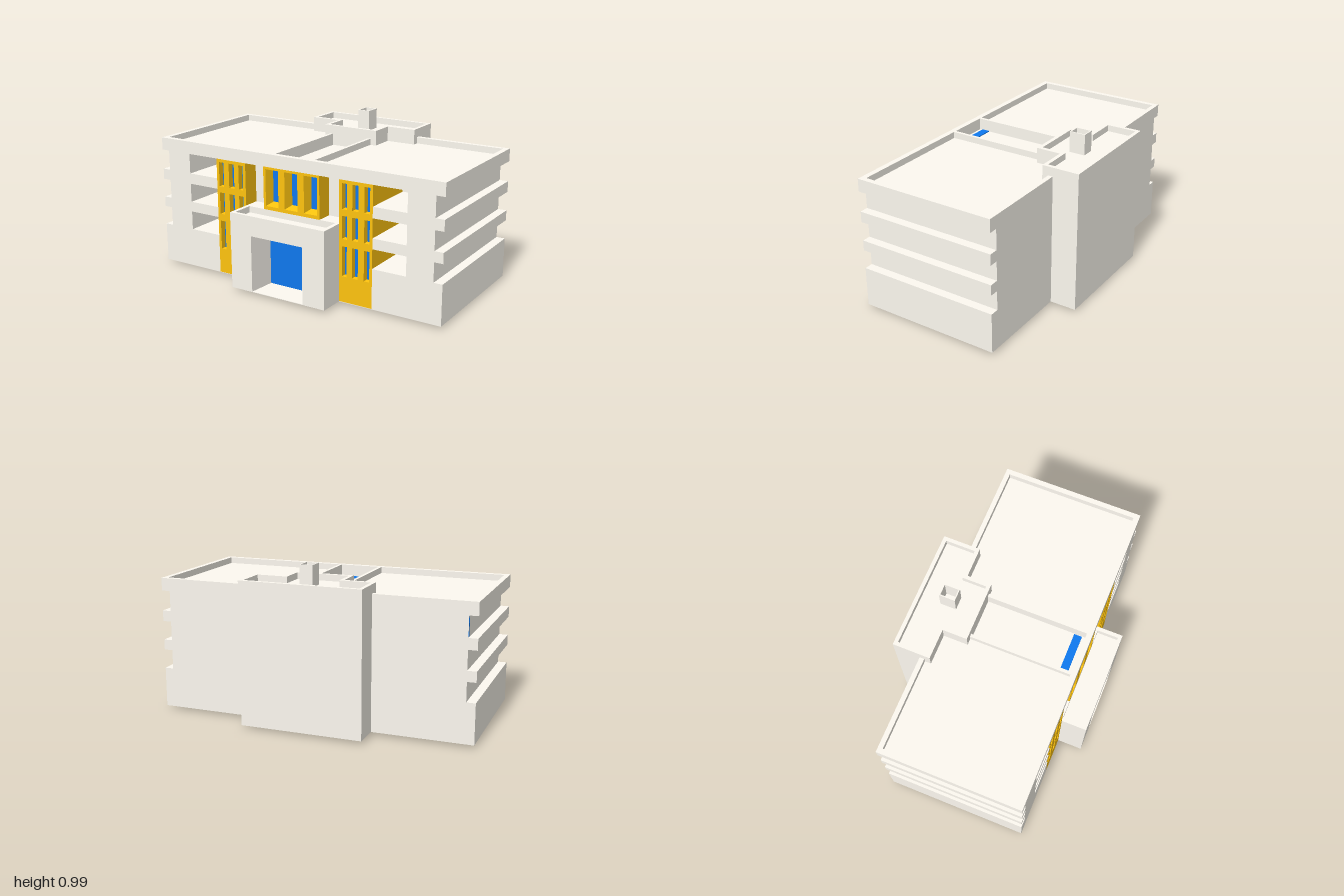
import * as THREE from 'three';

const mat = (color) => new THREE.MeshStandardMaterial({ color });

export function createModel() {
  const model = new THREE.Group();
  const stone = mat(0xfdf9f0), yellow = mat(0xffc40f), blue = mat(0x0f79ef);

  const add = (name, geometry, material) => {
    const mesh = new THREE.Mesh(geometry, material);
    mesh.name = name;
    model.add(mesh);
  };
  // box given by its limits
  const box = (name, x0, x1, y0, y1, z0, z1, material = stone) =>
    add(name, new THREE.BoxGeometry(x1 - x0, y1 - y0, z1 - z0)
      .translate((x0 + x1) / 2, (y0 + y1) / 2, (z0 + z1) / 2), material);
  const rect = (x0, x1, y0, y1) => [[x0, y0], [x1, y0], [x1, y1], [x0, y1]];
  const extrude = (pts, holes, depth) => {
    const toV = (list) => list.map(([x, y]) => new THREE.Vector2(x, y));
    const shape = new THREE.Shape(toV(pts));
    holes.forEach((h) => shape.holes.push(new THREE.Path(toV(h))));
    return new THREE.ExtrudeGeometry(shape, { depth, bevelEnabled: false });
  };
  // plan outline in (x, z) raised from y0 to y1
  const plan = (name, pts, y0, y1, holes = [], material = stone) => {
    const flip = (list) => list.map(([x, z]) => [x, -z]).reverse();
    add(name, extrude(flip(pts), holes.map(flip), y1 - y0).rotateX(-Math.PI / 2).translate(0, y0, 0), material);
  };
  // facade outline in (x, y) running from z0 to z1
  const facade = (name, pts, z0, z1, holes = [], material = stone) =>
    add(name, extrude(pts, holes, z1 - z0).translate(0, 0, z0), material);
  // sloping reveal from a front opening to a smaller one behind it
  const reveal = (name, outer, inner, zOuter, zInner, material) => {
    const pos = [];
    outer.forEach((a, i) => {
      const j = (i + 1) % outer.length;
      const A = [...a, zOuter], B = [...outer[j], zOuter], C = [...inner[j], zInner], D = [...inner[i], zInner];
      pos.push(...A, ...B, ...C, ...A, ...C, ...D);
    });
    const g = new THREE.BufferGeometry();
    g.setAttribute('position', new THREE.Float32BufferAttribute(pos, 3));
    g.computeVertexNormals();
    add(name, g, material);
  };

  const BASE = 0.017, ROOF = 0.807, TOP = 0.847, FRONT = 0.455, BACK = -0.447, DEEP = 0.1;
  const SLAB = BASE + 0.003, HEAD = 0.767, TOWER = 0.557, INNER = 0.335;

  // storey layers with a front notch for the towers and the entrance
  const notched = [[-1, BACK], [1, BACK], [1, FRONT], [TOWER, FRONT], [TOWER, DEEP],
    [-TOWER, DEEP], [-TOWER, FRONT], [-1, FRONT]];
  [[BASE, 0.267], [0.387, 0.452], [0.572, 0.64]].forEach(([a, b]) => plan('storeyBand', notched, a, b));
  box('groundSlab', -TOWER, TOWER, BASE, SLAB, DEEP, FRONT);

  // set-back walls and front piers between the layers
  [[0.267, 0.387], [0.452, 0.572], [0.64, HEAD]].forEach(([a, b]) => {
    box('recessedWall', -0.945, 0.945, a, b, BACK, DEEP);
    for (const s of [-1, 1]) {
      box('frontPier', s < 0 ? -0.945 : 0.775, s < 0 ? -0.775 : 0.945, a, b, DEEP, FRONT);
    }
  });
  box('sideWindow', -0.946, -0.94, 0.645, 0.762, -0.446, -0.43, blue);

  // roof slab with a sunken light well, and its parapets
  plan('roofSlab', rect(-1, 1, BACK, FRONT), HEAD, ROOF, [rect(-0.13, 0.13, -0.24, 0.42)]);
  plan('roofParapet', rect(-1, 1, BACK, FRONT), ROOF, TOP, [rect(-0.967, 0.967, -0.417, 0.42)]);
  box('wellFloor', -0.14, 0.14, 0.75, 0.772, -0.24, 0.43);
  box('wellGlass', -0.125, 0.125, 0.76, 0.778, 0.345, 0.395, blue);
  for (const s of [-1, 1]) {
    box('wellCurb', s < 0 ? -0.15 : 0.13, s < 0 ? -0.13 : 0.15, ROOF, TOP, -0.24, 0.42);
  }

  // yellow window towers
  const columns = [[0.355, 0.388], [0.423, 0.463], [0.503, 0.539]];
  const rows = [[0.18, 0.367], [0.412, 0.552], [0.592, 0.747]];
  for (const s of [-1, 1]) {
    const span = (a, b) => (s > 0 ? [a, b] : [-b, -a]);
    const [x0, x1] = span(INNER, TOWER);
    const holes = [];
    columns.forEach(([a, b]) => rows.forEach(([c, d]) => {
      const [p, q] = span(a, b);
      holes.push(rect(p, q, c, d));
      box('towerWindow', p, q, c, d, 0.405, 0.418, blue);
    }));
    facade('towerFront', rect(x0, x1, SLAB, HEAD), 0.41, FRONT, holes, yellow);
    box('towerBody', x0, x1, SLAB, HEAD, DEEP, 0.41, yellow);
  }

  // centre: lower wall, set-back upper wall and yellow bay
  box('entranceWall', -INNER, INNER, SLAB, 0.5, DEEP, 0.43);
  box('recessSill', -INNER, INNER, 0.46, 0.5, 0.43, FRONT);
  box('upperWall', -INNER, INNER, 0.5, HEAD, DEEP, 0.35);
  const bayWindows = [-0.138, 0, 0.138];
  const opening = (x) => rect(x - 0.046, x + 0.046, 0.522, 0.752);
  facade('bayFront', rect(-0.2, 0.2, 0.5, HEAD), 0.35, FRONT, bayWindows.map(opening), yellow);
  bayWindows.forEach((x) => reveal('bayWindowReveal', opening(x),
    rect(x - 0.032, x + 0.032, 0.537, 0.737), FRONT, 0.395, yellow));
  box('bayGlass', -0.19, 0.19, 0.515, 0.76, 0.345, 0.395, blue);

  // entrance porch with an open front, parapet, floor and door
  const arch = (w, h) => [[w, BASE], [w, h], [-w, h], [-w, BASE]];
  facade('porch', [[-INNER, BASE], ...arch(0.183, 0.375).reverse(), [INNER, BASE],
    [INNER, 0.46], [-INNER, 0.46]], 0.43, 0.615);
  reveal('porchReveal', rect(-0.183, 0.183, BASE, 0.375), rect(-0.168, 0.168, SLAB, 0.35), 0.615, 0.438, stone);
  plan('porchParapet', [[-INNER, 0.45], [-0.31, 0.45], [-0.31, 0.592], [0.31, 0.592],
    [0.31, 0.45], [INNER, 0.45], [INNER, 0.615], [-INNER, 0.615]], 0.46, 0.5);
  box('porchFloor', -0.183, 0.183, BASE, SLAB, 0.43, 0.615);
  box('door', -0.168, 0.168, SLAB, 0.332, 0.42, 0.44, blue);
  plan('doorFoot', rect(-0.175, 0.175, 0.35, 0.44), 0, BASE, [rect(-0.16, 0.16, 0.363, 0.427)], blue);
  box('doorFootPanel', -0.165, 0.165, 0.014, BASE, 0.355, 0.435, blue);

  // rear stair block with parapet and open chimney
  const tee = (i) => [[-0.382 + i, -0.615 + i], [0.382 - i, -0.615 + i], [0.382 - i, -0.378 - i],
    [0.19 - i, -0.378 - i], [0.19 - i, -0.222 - i], [-0.19 + i, -0.222 - i],
    [-0.19 + i, -0.378 - i], [-0.382 + i, -0.378 - i]];
  plan('rearBlock', tee(0), BASE, 0.862);
  plan('rearParapet', tee(0), 0.862, 0.902, [tee(0.024)]);
  plan('chimney', rect(-0.025, 0.056, -0.467, -0.365), 0.862, 0.992, [rect(-0.018, 0.049, -0.46, -0.372)]);

  return model;
}
